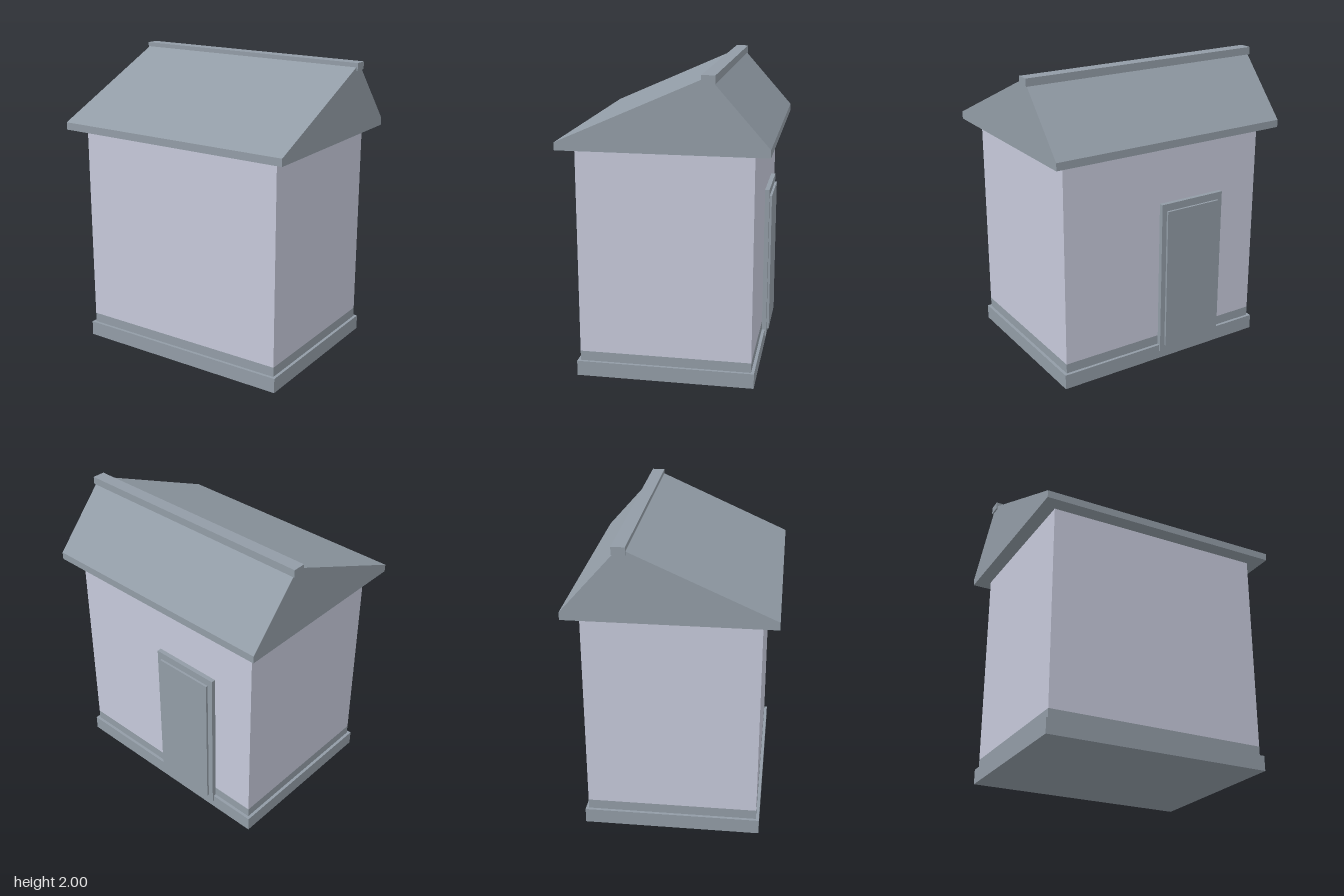
import * as THREE from 'three';

const slate = new THREE.MeshStandardMaterial({ color: 0x929ca6 });
slate.name = 'slate grey';
const plaster = new THREE.MeshStandardMaterial({ color: 0xc6c9da });
plaster.name = 'pale lilac plaster';

// Box given by its minimum and maximum corners
function box(name, material, [x0, y0, z0], [x1, y1, z1]) {
  const mesh = new THREE.Mesh(new THREE.BoxGeometry(x1 - x0, y1 - y0, z1 - z0), material);
  mesh.position.set((x0 + x1) / 2, (y0 + y1) / 2, (z0 + z1) / 2);
  mesh.name = name;
  return mesh;
}

// Off-centre gable profile in (z, y), extruded along x
function makeRoof() {
  const halfLength = 0.84;
  const profile = [[-0.66, 1.52], [0.66, 1.52], [0.66, 1.57], [-0.287, 1.99], [-0.66, 1.57]];
  const shape = new THREE.Shape(profile.map(([z, y]) => new THREE.Vector2(-z, y)));
  const geometry = new THREE.ExtrudeGeometry(shape, { depth: 2 * halfLength, bevelEnabled: false });
  geometry.translate(0, 0, -halfLength);
  geometry.rotateY(Math.PI / 2);
  const roof = new THREE.Mesh(geometry, slate);
  roof.name = 'roof';
  return roof;
}

export function createModel() {
  const house = new THREE.Group();
  house.name = 'gardenHouse';

  // Foundation, painted wall foot and walls
  house.add(
    box('foundation', slate, [-0.765, 0, -0.58], [0.765, 0.1, 0.58]),
    box('wallFoot', slate, [-0.745, 0.1, -0.56], [0.745, 0.165, 0.56]),
    box('walls', plaster, [-0.745, 0.165, -0.56], [0.745, 1.52, 0.56])
  );

  // Roof and ridge cap
  house.add(makeRoof(), box('ridgeCap', slate, [-0.85, 1.95, -0.33], [0.85, 2, -0.245]));

  // Door on the back wall
  const door = new THREE.Group();
  door.name = 'door';
  door.add(
    box('doorFrame', slate, [-0.447, 0.055, -0.59], [0.035, 1.12, -0.55]),
    box('doorPanel', slate, [-0.41, 0.095, -0.605], [0, 1.07, -0.58])
  );
  house.add(door);

  return house;
}
